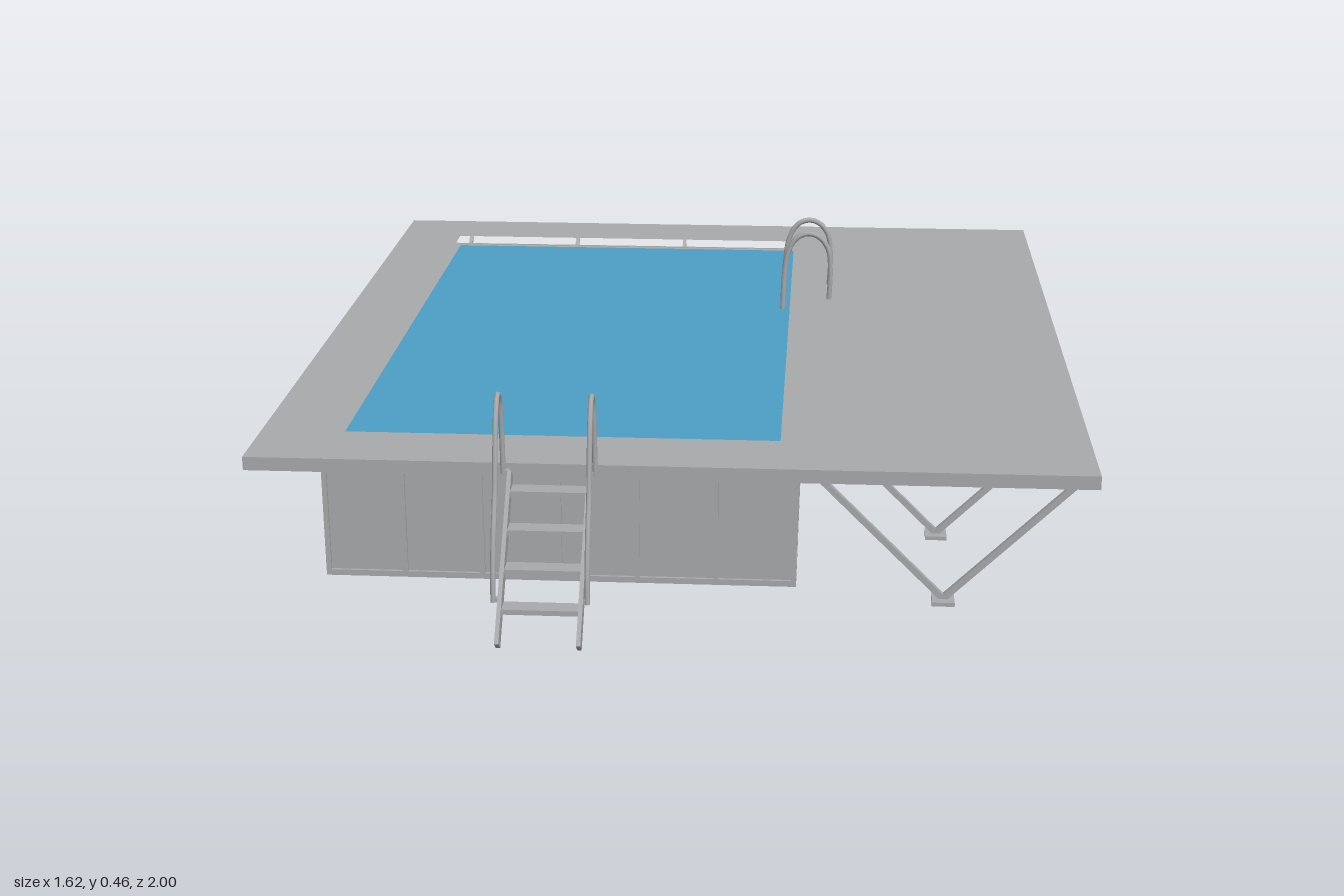
import * as THREE from 'three';

const grey = new THREE.MeshStandardMaterial({ color: 0xa8a9ab });
grey.name = 'grey metal and decking';
const blue = new THREE.MeshStandardMaterial({ color: 0x4d9fc5 });
blue.name = 'water blue';
const navy = new THREE.MeshStandardMaterial({ color: 0x2e6ea8 });
navy.name = 'liner blue';

const V = (x, y, z) => new THREE.Vector3(x, y, z);

// Box given by its minimum and maximum corners
function box(parent, name, a, b, mat = grey) {
  const m = new THREE.Mesh(new THREE.BoxGeometry(b[0] - a[0], b[1] - a[1], b[2] - a[2]), mat);
  m.position.set((a[0] + b[0]) / 2, (a[1] + b[1]) / 2, (a[2] + b[2]) / 2);
  m.name = name;
  parent.add(m);
  return m;
}

// Rectangular bar running from p to q
function bar(parent, name, p, q, w, h = w) {
  const m = new THREE.Mesh(new THREE.BoxGeometry(w, h, p.distanceTo(q)), grey);
  m.position.copy(p).add(q).multiplyScalar(0.5);
  m.lookAt(q);
  m.name = name;
  parent.add(m);
}

function tube(parent, name, points, r) {
  const curve = new THREE.CatmullRomCurve3(points);
  const m = new THREE.Mesh(new THREE.TubeGeometry(curve, 40, r, 10), grey);
  m.name = name;
  parent.add(m);
}

function rect(path, x0, x1, z0, z1) {
  path.moveTo(x0, -z0);
  path.lineTo(x1, -z0);
  path.lineTo(x1, -z1);
  path.lineTo(x0, -z1);
  path.closePath();
  return path;
}

function group(parent, name) {
  const g = new THREE.Group();
  g.name = name;
  parent.add(g);
  return g;
}

export function createModel() {
  const model = new THREE.Group();
  model.name = 'aboveGroundPool';
  const X0 = -0.69, X1 = 0.245, Z0 = -0.88, Z1 = 0.64, top = 0.268, t = 0.006;

  // Deck with the pool opening
  const shape = rect(new THREE.Shape(), -0.81, 0.81, -1, 0.76);
  shape.holes.push(rect(new THREE.Path(), -0.66, 0.21, -0.85, 0.61));
  const deck = new THREE.Mesh(
    new THREE.ExtrudeGeometry(shape, { depth: 0.027, bevelEnabled: false }), grey);
  deck.rotation.x = -Math.PI / 2;
  deck.position.y = top;
  deck.name = 'deck';
  model.add(deck);

  // Tank, water and liner floor
  const tank = group(model, 'tank');
  box(tank, 'wallPanels', [X0 + t, 0.004, Z0 + t], [X1 - t, 0.267, Z1 - t]);
  box(tank, 'water', [-0.66, 0.262, -0.85], [0.21, 0.27, 0.61], blue);
  box(tank, 'linerFloor', [X0 + t, 0, Z0 + t], [X1 - t, 0.004, Z1 - t], navy);

  // Wall rails and posts
  for (const y of [0, top - 0.012]) {
    for (const z of [Z0, Z1 - t]) box(tank, 'wallRail', [X0, y, z], [X1, y + 0.012, z + t]);
    for (const x of [X0, X1 - t]) box(tank, 'wallRail', [x, y, Z0 + t], [x + t, y + 0.012, Z1 - t]);
  }
  const pw = 0.01;
  for (let i = 0; i <= 6; i++) {
    const x = X0 + (X1 - X0 - pw) * i / 6;
    for (const z of [Z0, Z1 - t]) box(tank, 'wallPost', [x, 0.012, z], [x + pw, 0.256, z + t]);
  }
  for (let i = 0; i <= 10; i++) {
    const z = Z0 + (Z1 - Z0 - pw) * i / 10;
    for (const x of [X0, X1 - t]) box(tank, 'wallPost', [x, 0.012, z], [x + t, 0.256, z + pw]);
  }

  // Short brackets holding up the narrow deck edges
  const brackets = group(model, 'deckBrackets');
  for (let i = 0; i < 4; i++) {
    const x = -0.645 + i * 0.283;
    bar(brackets, 'bracket', V(x, 0.225, Z1), V(x, 0.268, Z1 + 0.06), 0.009);
    bar(brackets, 'bracket', V(x, 0.225, Z0), V(x, 0.268, Z0 - 0.06), 0.009);
  }
  for (let i = 0; i < 6; i++) {
    const z = -0.83 + i * 0.284;
    bar(brackets, 'bracket', V(X0, 0.225, z), V(X0 - 0.06, 0.268, z), 0.009);
  }

  // Wide terrace frame: V legs, feet, joists and diagonals
  const frame = group(model, 'terraceFrame');
  const step = 0.323;
  for (let i = 0; i < 6; i++) {
    const z = -0.925 + i * step;
    bar(frame, 'innerLeg', V(0.53, 0.008, z), V(0.275, 0.264, z), 0.012);
    bar(frame, 'outerLeg', V(0.53, 0.008, z), V(0.788, 0.264, z), 0.012);
    box(frame, 'foot', [0.508, 0, z - 0.023], [0.552, 0.008, z + 0.023]);
    box(frame, 'joist', [0.25, 0.258, z - 0.008], [0.795, top, z + 0.008]);
    if (i < 5) {
      box(frame, 'middleJoist', [0.25, 0.261, z + step / 2 - 0.007], [0.795, top, z + step / 2 + 0.007]);
      bar(frame, 'diagonal', V(0.27, 0.264, z), V(0.785, 0.264, z + step), 0.01, 0.007);
    }
  }
  for (const x of [0.262, 0.785]) box(frame, 'longBeam', [x - 0.008, 0.259, -0.925], [x + 0.008, top, 0.69]);

  // Entry ladder at the front
  const ladder = group(model, 'entryLadder');
  for (const s of [-1, 1]) {
    const x = -0.22 + s * 0.075;
    bar(ladder, 'stringer', V(x, 0.025, 0.988), V(x, 0.28, 0.772), 0.008, 0.028);
    const hx = -0.221 + s * 0.087;
    tube(ladder, 'handrail', [[0.09, 0.938], [0.14, 0.932], [0.21, 0.912], [0.28, 0.882], [0.36, 0.862],
      [0.42, 0.842], [0.452, 0.816], [0.435, 0.79], [0.38, 0.779], [0.28, 0.774]]
      .map(([y, z]) => V(hx, y, z)), 0.005);
    bar(ladder, 'railBracket', V(hx, 0.095, 0.936), V(x, 0.095, 0.936), 0.009);
    bar(ladder, 'railBracket', V(hx, 0.283, 0.774), V(x, 0.283, 0.774), 0.009);
  }
  for (let i = 0; i < 4; i++) {
    const z = 0.79 + i * 0.049, y = 0.252 - i * 0.058;
    box(ladder, 'tread', [-0.291, y - 0.005, z - 0.018], [-0.149, y + 0.005, z + 0.018]);
  }

  // Grab rails at the pool edge
  const grab = group(model, 'grabRails');
  for (const z of [-0.47, -0.345]) {
    tube(grab, 'grabRail', [[0.3, 0.285], [0.303, 0.36], [0.297, 0.415], [0.277, 0.444], [0.25, 0.453],
      [0.222, 0.441], [0.203, 0.405], [0.195, 0.35], [0.192, 0.265]]
      .map(([x, y]) => V(x, y, z)), 0.006);
  }
  return model;
}
